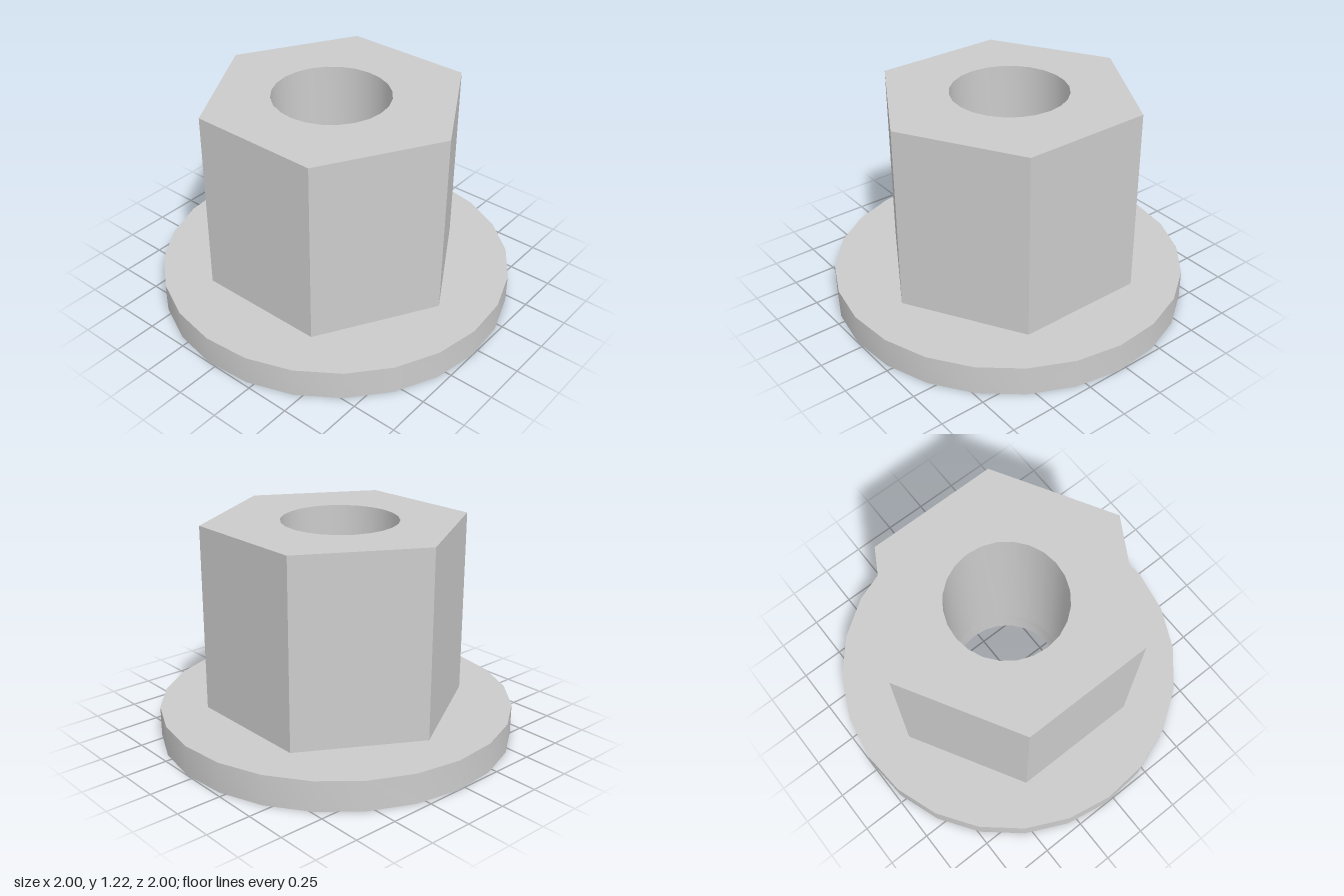
import * as THREE from 'three';
import { toCreasedNormals } from 'three/addons/utils/BufferGeometryUtils.js';

const material = new THREE.MeshStandardMaterial({ color: 0xcccccc });

// Points of a regular polygon, turned by a number of degrees
function polygon(sides, radius, turn, cx = 0, cy = 0) {
  return Array.from({ length: sides }, (_, i) => {
    const a = THREE.MathUtils.degToRad(turn + (i * 360) / sides);
    return new THREE.Vector2(cx + radius * Math.cos(a), cy + radius * Math.sin(a));
  });
}

// Upright prism with the slightly off-centre bore cut through it
function boredPrism(name, outline, bottom, top) {
  const shape = new THREE.Shape(outline);
  shape.holes.push(new THREE.Path(polygon(24, 0.325, 1, -0.011, 0.02)));
  const extruded = new THREE.ExtrudeGeometry(shape, { depth: top - bottom, bevelEnabled: false });
  extruded.rotateX(-Math.PI / 2).translate(0, bottom, 0);
  const mesh = new THREE.Mesh(toCreasedNormals(extruded, 0.6), material);
  mesh.name = name;
  return mesh;
}

export function createModel() {
  const model = new THREE.Group();
  model.name = 'flangedHexNut';
  // Round base flange
  model.add(boredPrism('flange', polygon(24, 1, -2.75), 0, 0.17));
  // Hexagonal body with corners pointing front and back
  model.add(boredPrism('hexBody', polygon(6, 0.738, 30, 0, 0.003), 0.17, 1.22));
  return model;
}
